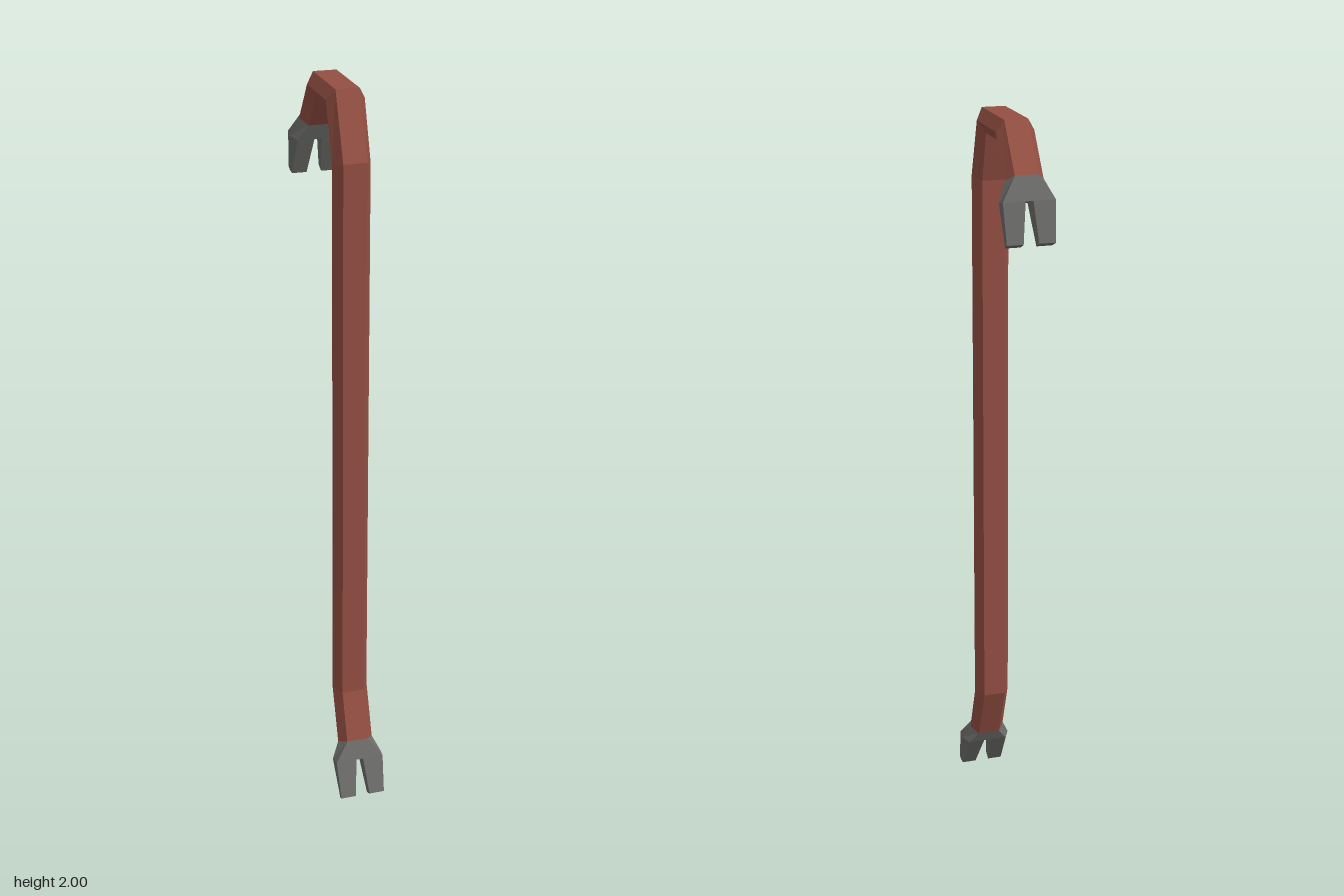
import * as THREE from 'three';

const red = new THREE.MeshStandardMaterial({ color: 0x944f42, flatShading: true });
red.name = 'brick red paint';
const steel = new THREE.MeshStandardMaterial({ color: 0x6c6c6a, flatShading: true });
steel.name = 'bare steel';

// A station is a slice of the bar: outer and inner points as [z, y],
// with half widths on the outer face, the middle and the inner face.
const station = (outer, inner, wide = [0.031, 0.05, 0.031], notch = 0) => ({ outer, inner, wide, notch });

// Right half of a slice, running from the outer face to the inner face.
function halfRing({ outer, inner, wide }) {
  const mid = [(outer[0] + inner[0]) / 2, (outer[1] + inner[1]) / 2];
  return [outer, mid, inner].map((p, i) => new THREE.Vector3(wide[i], p[1], p[0]));
}

const flip = (p) => new THREE.Vector3(-p.x, p.y, p.z);

function fullRing(s) {
  const half = halfRing(s);
  return [...half, ...half.map(flip).reverse()];
}

// One fork prong's slice, closed along the notch.
function prongRing(s, side) {
  const { outer, inner, notch } = s;
  const ring = [
    ...halfRing(s),
    new THREE.Vector3(notch, inner[1], inner[0]),
    new THREE.Vector3(notch, outer[1], outer[0]),
  ];
  return side > 0 ? ring : ring.map(flip).reverse();
}

// Skin a list of equal-sized rings and close both ends.
function loft(rings, material, name) {
  const points = [];
  const n = rings[0].length;
  for (let i = 0; i < rings.length - 1; i++) {
    for (let j = 0; j < n; j++) {
      const k = (j + 1) % n;
      const a = rings[i][j], b = rings[i][k], c = rings[i + 1][k], d = rings[i + 1][j];
      points.push(a, b, c, a, c, d);
    }
  }
  const first = rings[0], last = rings[rings.length - 1];
  for (let j = 1; j < n - 1; j++) {
    points.push(first[0], first[j + 1], first[j], last[0], last[j], last[j + 1]);
  }
  const geometry = new THREE.BufferGeometry().setFromPoints(points);
  geometry.computeVertexNormals();
  const mesh = new THREE.Mesh(geometry, material);
  mesh.name = name;
  return mesh;
}

// Flared neck with two tapering prongs; stations run neck, hip, tip.
function claw(neck, hip, tip, upward, name) {
  const group = new THREE.Group();
  group.name = name;
  const order = (rings) => (upward ? rings.reverse() : rings);
  group.add(loft(order([fullRing(neck), fullRing(hip)]), steel, 'clawNeck'));
  for (const side of [1, -1]) {
    const rings = order([prongRing(hip, side), prongRing(tip, side)]);
    group.add(loft(rings, steel, side > 0 ? 'leftProng' : 'rightProng'));
  }
  return group;
}

export function createModel() {
  const model = new THREE.Group();
  model.name = 'pryBar';
  const tool = new THREE.Group();
  tool.name = 'turnedBar';
  tool.rotation.y = THREE.MathUtils.degToRad(-5);
  model.add(tool);

  // Hexagonal bar from the foot, up the shaft and over the hook.
  const path = [
    station([0.199, 0.165], [0.145, 0.14]),
    station([0.152, 0.3], [0.083, 0.3]),
    station([0.152, 1.83], [0.083, 1.81]),
    station([0.084, 2], [0.045, 1.94]),
    station([-0.119, 2], [-0.098, 1.94]),
    station([-0.211, 1.88], [-0.165, 1.848]),
  ];
  tool.add(loft(path.map(fullRing), red, 'bar'));

  // Forked claws at both ends.
  const hipWidths = [0.068, 0.071, 0.056];
  const tipWidths = [0.063, 0.063, 0.06];
  tool.add(claw(
    path[0],
    station([0.219, 0.113], [0.162, 0.105], hipWidths, 0.01),
    station([0.251, 0.012], [0.227, 0], tipWidths, 0.02),
    true, 'footClaw',
  ));
  tool.add(claw(
    path[5],
    station([-0.234, 1.82], [-0.184, 1.805], hipWidths, 0.01),
    station([-0.252, 1.717], [-0.228, 1.705], tipWidths, 0.02),
    false, 'hookClaw',
  ));
  return model;
}
